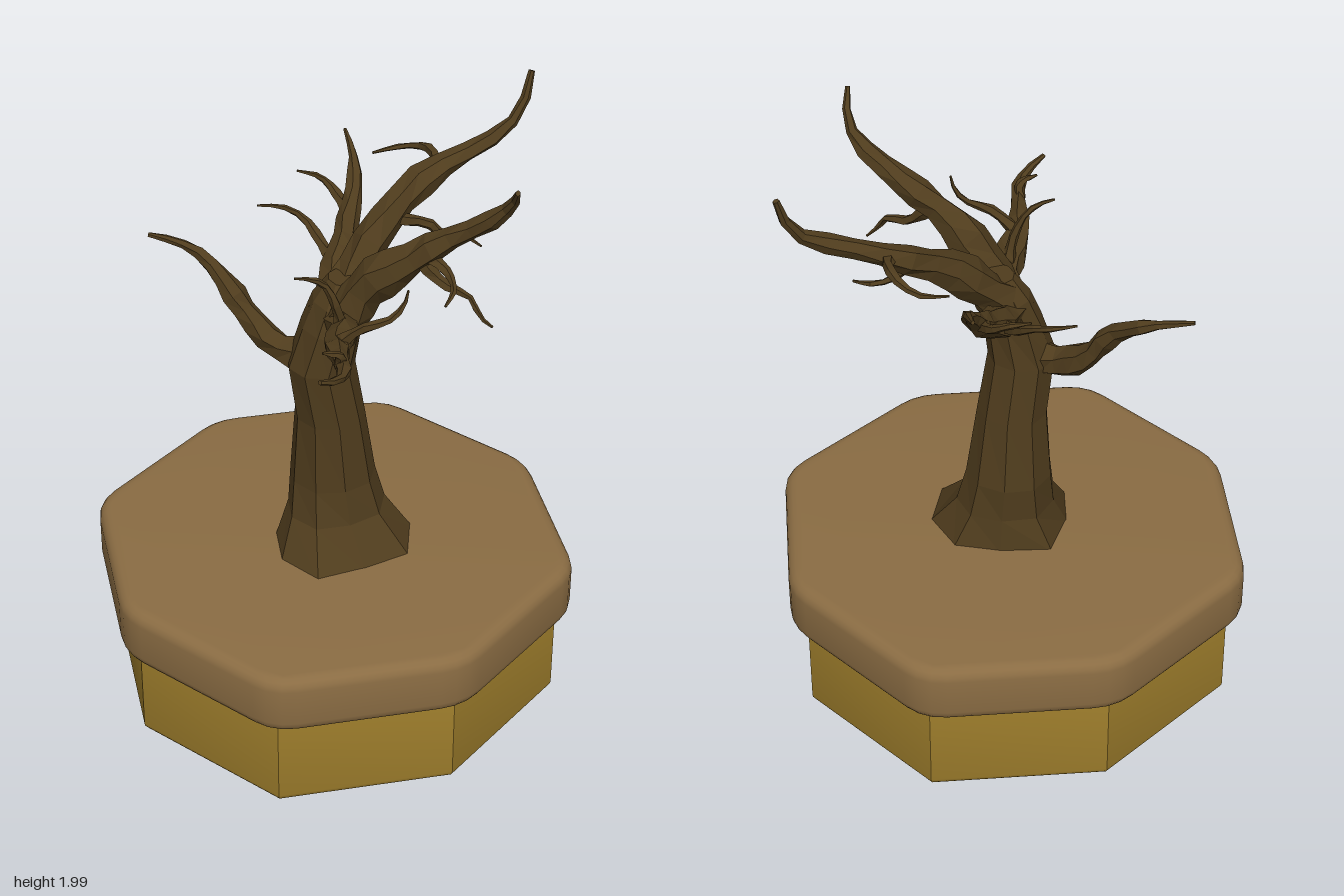
import * as THREE from 'three';
import { toCreasedNormals } from 'three/addons/utils/BufferGeometryUtils.js';

// Skin a list of closed rings (arrays of Vector3) into a flat-shaded surface with capped ends
function skin(rings) {
  const n = rings[0].length, pos = [], idx = [];
  rings.forEach(r => r.forEach(p => pos.push(p.x, p.y, p.z)));
  for (let i = 0; i < rings.length - 1; i++) {
    for (let j = 0; j < n; j++) {
      const a = i * n + j, b = i * n + (j + 1) % n;
      idx.push(a, b, a + n, b, b + n, a + n);
    }
  }
  const last = (rings.length - 1) * n;
  for (let j = 1; j < n - 1; j++) {
    idx.push(0, j + 1, j);
    idx.push(last, last + j, last + j + 1);
  }
  const g = new THREE.BufferGeometry();
  g.setAttribute('position', new THREE.Float32BufferAttribute(pos, 3));
  g.setIndex(idx);
  const flat = g.toNonIndexed();
  flat.computeVertexNormals();
  return flat;
}

// Gnarled tapering limb through points, radius r0 at the root and r1 at the tip
function limb(points, r0, r1, sides, segments) {
  const curve = new THREE.CatmullRomCurve3(points.map(p => new THREE.Vector3(...p)));
  const { normals, binormals } = curve.computeFrenetFrames(segments);
  const rings = [];
  for (let i = 0; i <= segments; i++) {
    const t = i / segments, c = curve.getPointAt(t), ring = [];
    const r = (r0 + (r1 - r0) * Math.pow(t, 1.15)) * (1 + 0.1 * Math.sin(i * 2.3));
    for (let j = 0; j < sides; j++) {
      const a = j / sides * Math.PI * 2 + 0.15 * Math.sin(i * 1.7);
      const k = r * (1 + 0.12 * Math.sin(j * 2.1 + i));
      ring.push(c.clone()
        .addScaledVector(normals[i], Math.cos(a) * k)
        .addScaledVector(binormals[i], Math.sin(a) * k));
    }
    rings.push(ring);
  }
  return skin(rings);
}

// Eight-sided slab with softened corners and bevelled rims
function slab(axis, diagonal, y0, y1, bevel, corner) {
  const pts = [];
  for (let i = 0; i < 8; i++) {
    const a = i * Math.PI / 4, r = (i % 2 ? diagonal : axis) - bevel;
    pts.push(new THREE.Vector2(Math.cos(a) * r, Math.sin(a) * r));
  }
  const shape = new THREE.Shape();
  pts.forEach((p, i) => {
    if (!corner) {
      i ? shape.lineTo(p.x, p.y) : shape.moveTo(p.x, p.y);
      return;
    }
    const a = p.clone().lerp(pts[(i + 7) % 8], corner), b = p.clone().lerp(pts[(i + 1) % 8], corner);
    i ? shape.lineTo(a.x, a.y) : shape.moveTo(a.x, a.y);
    shape.quadraticCurveTo(p.x, p.y, b.x, b.y);
  });
  shape.closePath();
  const g = new THREE.ExtrudeGeometry(shape, {
    depth: y1 - y0 - 2 * bevel, bevelThickness: bevel, bevelSize: bevel, bevelSegments: 4, curveSegments: 3,
  });
  g.rotateX(-Math.PI / 2).translate(0, y0 + bevel, 0);
  return toCreasedNormals(g, 0.6);
}

export function createModel() {
  const model = new THREE.Group();
  model.name = 'treeOnPlinth';
  const gold = new THREE.MeshStandardMaterial({ color: 0x9c7c2b });
  const tan = new THREE.MeshStandardMaterial({ color: 0x8a6c43 });
  const bark = new THREE.MeshStandardMaterial({ color: 0x4f3c1d, flatShading: true });
  const add = (name, geometry, material, parent = model) => {
    const mesh = new THREE.Mesh(geometry, material);
    mesh.name = name;
    parent.add(mesh);
  };

  // Plinth
  add('plinthBase', slab(0.725, 0.748, 0, 0.36, 0.025, 0), gold);
  add('plinthTop', slab(0.782, 0.808, 0.325, 0.53, 0.04, 0.11), tan);

  const tree = new THREE.Group();
  tree.name = 'tree';
  model.add(tree);

  // Trunk: [y, centre x, centre z, radius x, radius z, root flare]
  const sections = [
    [0.52, 0.005, 0.04, 0.235, 0.225, 0.12],
    [0.64, 0.012, -0.005, 0.165, 0.15, 0.06],
    [0.76, 0.01, -0.02, 0.14, 0.14, 0.03],
    [1.0, -0.003, -0.015, 0.112, 0.118, 0.02],
    [1.2, -0.035, -0.015, 0.108, 0.11, 0.02],
    [1.34, -0.01, 0.005, 0.09, 0.112, 0.03],
    [1.43, 0.015, 0.015, 0.08, 0.105, 0.03],
    [1.5, 0.035, 0.015, 0.05, 0.06, 0],
  ];
  const sides = 9;
  add('trunk', skin(sections.map(([y, cx, cz, rx, rz, flare], i) => {
    const ring = [];
    for (let j = 0; j < sides; j++) {
      const a = -j / sides * Math.PI * 2 + 0.3 + i * 0.05;
      const k = 1 + flare * Math.sin(j * 2.4 + 0.5);
      ring.push(new THREE.Vector3(cx + Math.cos(a) * rx * k, y, cz + Math.sin(a) * rz * k));
    }
    return ring;
  })), bark, tree);

  // Main branches: [name, root radius, tip radius, path]
  const branches = [
    ['leftBranch', 0.075, 0.009, [[0.0, 1.36, 0], [0.09, 1.48, -0.03], [0.2, 1.59, -0.05], [0.33, 1.675, -0.075],
      [0.47, 1.745, -0.065], [0.61, 1.80, -0.035], [0.71, 1.865, -0.03], [0.76, 1.99, -0.045]]],
    ['frontLeftBranch', 0.078, 0.008, [[0.01, 1.38, 0.05], [0.06, 1.53, 0.13], [0.14, 1.64, 0.22], [0.23, 1.73, 0.31],
      [0.31, 1.81, 0.40], [0.335, 1.88, 0.46], [0.305, 1.96, 0.525]]],
    ['frontRightBranch', 0.06, 0.007, [[0.0, 1.37, 0.05], [-0.06, 1.41, 0.16], [-0.14, 1.445, 0.25], [-0.2, 1.475, 0.36],
      [-0.24, 1.49, 0.45], [-0.3, 1.51, 0.505], [-0.37, 1.54, 0.525]]],
    ['backLeftBranch', 0.062, 0.006, [[0.02, 1.36, -0.02], [0.08, 1.42, -0.11], [0.16, 1.48, -0.2], [0.25, 1.57, -0.28],
      [0.31, 1.66, -0.37], [0.34, 1.71, -0.47]]],
    ['backRightBranch', 0.058, 0.007, [[-0.05, 1.2, -0.03], [-0.12, 1.22, -0.14], [-0.165, 1.29, -0.225], [-0.21, 1.4, -0.3],
      [-0.255, 1.475, -0.4], [-0.3, 1.5, -0.45], [-0.37, 1.52, -0.505]]],
  ];
  branches.forEach(([name, r0, r1, path]) => add(name, limb(path, r0, r1, 6, 12), bark, tree));

  // Thin side twigs
  const twigs = [
    [[0.42, 1.72, -0.06], [0.465, 1.74, -0.15], [0.46, 1.73, -0.22], [0.42, 1.71, -0.28], [0.34, 1.7, -0.305]],
    [[0.26, 1.61, -0.05], [0.34, 1.6, 0.02], [0.38, 1.56, 0.04], [0.44, 1.55, 0.06], [0.47, 1.53, 0.125]],
    [[0.16, 1.64, 0.24], [0.205, 1.57, 0.31], [0.25, 1.55, 0.38], [0.26, 1.5, 0.42], [0.295, 1.46, 0.44]],
    [[0.17, 1.67, 0.26], [0.19, 1.63, 0.36], [0.17, 1.61, 0.41], [0.12, 1.59, 0.44]],
    [[-0.15, 1.45, 0.26], [-0.09, 1.52, 0.32], [-0.02, 1.55, 0.36], [0.015, 1.59, 0.375], [0.028, 1.645, 0.38]],
    [[-0.06, 1.41, 0.15], [-0.09, 1.52, 0.16], [-0.12, 1.59, 0.15], [-0.16, 1.62, 0.145], [-0.215, 1.635, 0.13]],
    [[-0.22, 1.48, 0.4], [-0.24, 1.53, 0.42], [-0.29, 1.55, 0.41]],
    [[0.22, 1.54, -0.25], [0.225, 1.57, -0.34], [0.2, 1.61, -0.4], [0.14, 1.63, -0.44]],
    [[0.1, 1.44, -0.15], [0.11, 1.48, -0.26], [0.09, 1.53, -0.34], [0.05, 1.55, -0.39], [-0.02, 1.56, -0.42]],
  ];
  twigs.forEach((path, i) => add('twig' + (i + 1), limb(path, 0.022, 0.004, 5, 8), bark, tree));

  return model;
}
